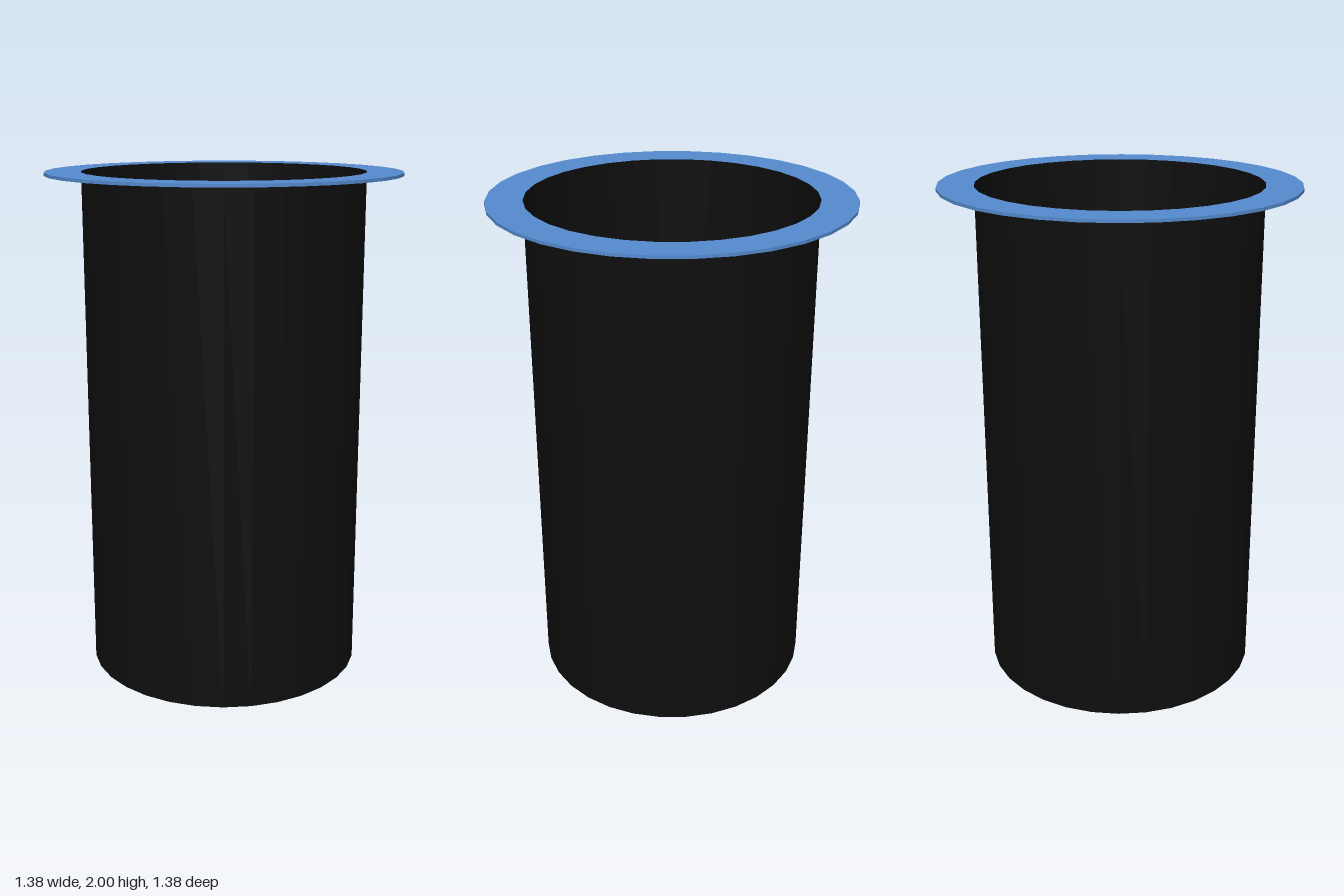
import * as THREE from 'three';

const SIDES = 32;
const TUBE_RADIUS = 0.55;
const RIM_RADIUS = 0.69;
const HEIGHT = 2;
const RIM_THICKNESS = 0.012;

// Revolve a list of [radius, height] points around the y axis
function revolve(name, points, color) {
  const profile = points.map(([r, y]) => new THREE.Vector2(r, y));
  const material = new THREE.MeshStandardMaterial({ color, flatShading: true, side: THREE.DoubleSide });
  const mesh = new THREE.Mesh(new THREE.LatheGeometry(profile, SIDES), material);
  mesh.name = name;
  return mesh;
}

export function createModel() {
  const model = new THREE.Group();
  model.name = 'flangedCup';

  // Hollow cup: closed floor, thin wall, open top
  model.add(revolve('cup', [[0, 0], [TUBE_RADIUS, 0], [TUBE_RADIUS, HEIGHT]], 0x0e0e0e));

  // Thin flat rim around the mouth
  const low = HEIGHT - RIM_THICKNESS;
  model.add(revolve('rim', [
    [TUBE_RADIUS, low], [RIM_RADIUS, low], [RIM_RADIUS, HEIGHT], [TUBE_RADIUS, HEIGHT],
  ], 0x558acf));

  return model;
}
